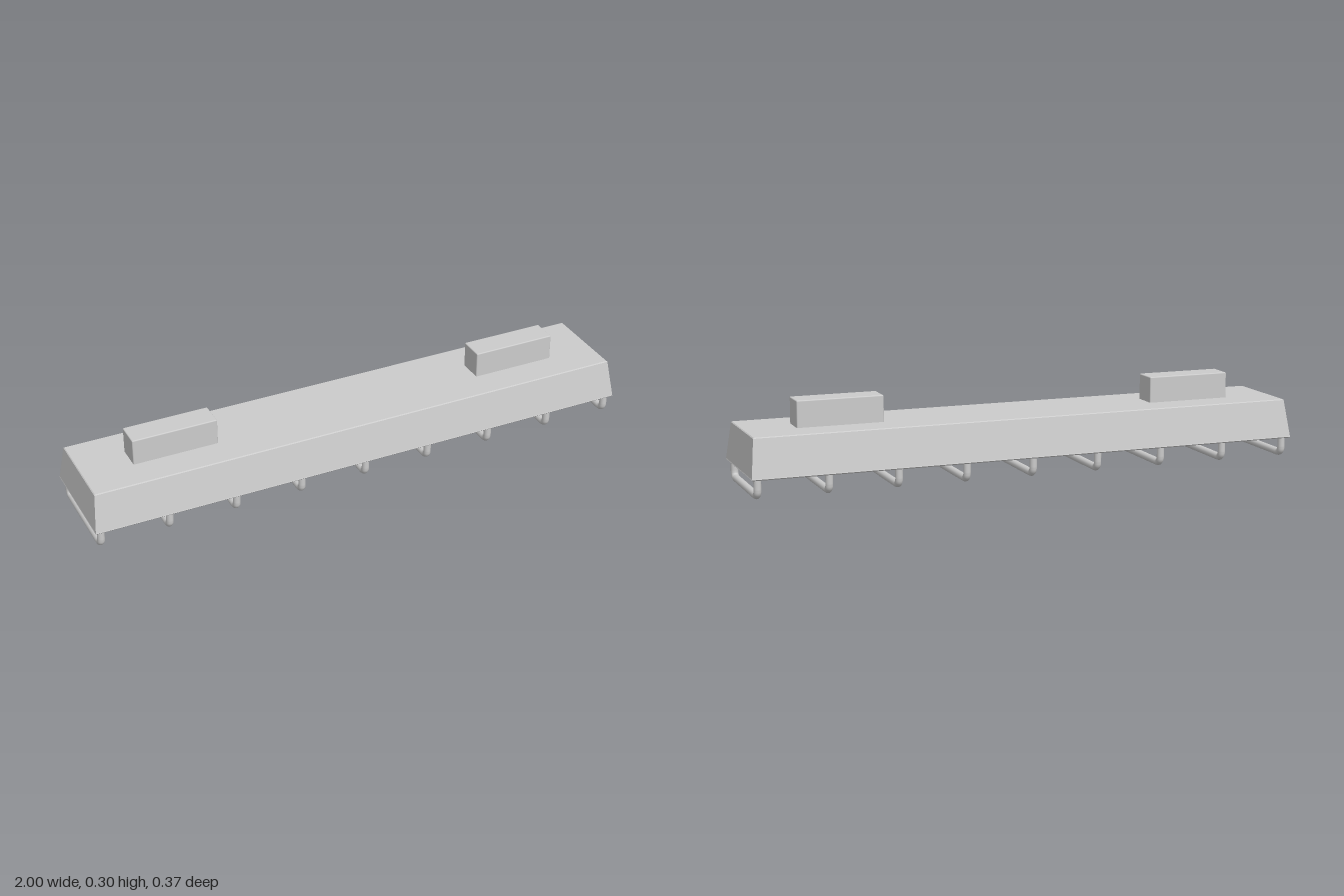
import * as THREE from 'three';
import { RoundedBoxGeometry } from 'three/addons/geometries/RoundedBoxGeometry.js';

const material = new THREE.MeshStandardMaterial({ color: 0xcccccc });

// Skin a stack of rectangles [halfX, halfZ, y], capped at both ends
function loftRectangles(rings) {
  const corners = rings.map(([x, z, y]) => [[x, y, z], [x, y, -z], [-x, y, -z], [-x, y, z]]);
  const positions = [];
  const quad = (a, b, c, d) => positions.push(...a, ...b, ...c, ...a, ...c, ...d);
  quad(...corners[0]);
  for (let r = 0; r < corners.length - 1; r++) {
    for (let i = 0; i < 4; i++) {
      const j = (i + 1) % 4;
      quad(corners[r][i], corners[r + 1][i], corners[r + 1][j], corners[r][j]);
    }
  }
  quad(...corners[corners.length - 1].slice().reverse());
  const geometry = new THREE.BufferGeometry();
  geometry.setAttribute('position', new THREE.Float32BufferAttribute(positions, 3));
  geometry.computeVertexNormals();
  return geometry;
}

// U-shaped wire guard with rounded lower corners
function guardGeometry() {
  const z = 0.163, low = 0.013, high = 0.08, r = 0.022;
  const v = (y, pz) => new THREE.Vector3(0, y, pz);
  const path = new THREE.CurvePath();
  path.add(new THREE.LineCurve3(v(high, z), v(low + r, z)));
  const bend = (side) => {
    const pts = [];
    for (let i = 0; i <= 6; i++) {
      const a = (i / 6) * Math.PI / 2;
      pts.push(v(low + r - r * Math.sin(a), side * (z - r + r * Math.cos(a))));
    }
    return side > 0 ? pts : pts.reverse();
  };
  const addBend = (pts) => {
    for (let i = 0; i < pts.length - 1; i++) path.add(new THREE.LineCurve3(pts[i], pts[i + 1]));
  };
  addBend(bend(1));
  path.add(new THREE.LineCurve3(v(low, z - r), v(low, -z + r)));
  addBend(bend(-1));
  path.add(new THREE.LineCurve3(v(low + r, -z), v(high, -z)));
  return new THREE.TubeGeometry(path, 96, 0.013, 14, false);
}

export function createModel() {
  const model = new THREE.Group();
  const add = (name, geometry, x = 0, y = 0, z = 0) => {
    const mesh = new THREE.Mesh(geometry, material);
    mesh.name = name;
    mesh.position.set(x, y, z);
    model.add(mesh);
  };

  // Tapered housing, hollow underneath with a flat rim
  add('housing', loftRectangles([
    [0.982, 0.155, 0.209], [0.985, 0.158, 0.206],
    [0.999, 0.186, 0.077], [1.0, 0.187, 0.074], [0.996, 0.183, 0.07],
    [0.955, 0.147, 0.07], [0.945, 0.13, 0.17],
  ]));

  // Two long heating bars inside the housing
  for (const side of [-1, 1]) {
    add('innerBar', new THREE.BoxGeometry(1.8, 0.07, 0.06), 0, 0.137, side * 0.065);
  }

  // Mounting blocks on top
  for (const side of [-1, 1]) {
    add('mountingBlock', new RoundedBoxGeometry(0.306, 0.1, 0.092, 2, 0.004), side * 0.654, 0.252, 0);
  }

  // Row of wire guards below the rim
  const guard = guardGeometry();
  for (let i = -4; i <= 4; i++) add('wireGuard', guard, i * 0.244);

  return model;
}
